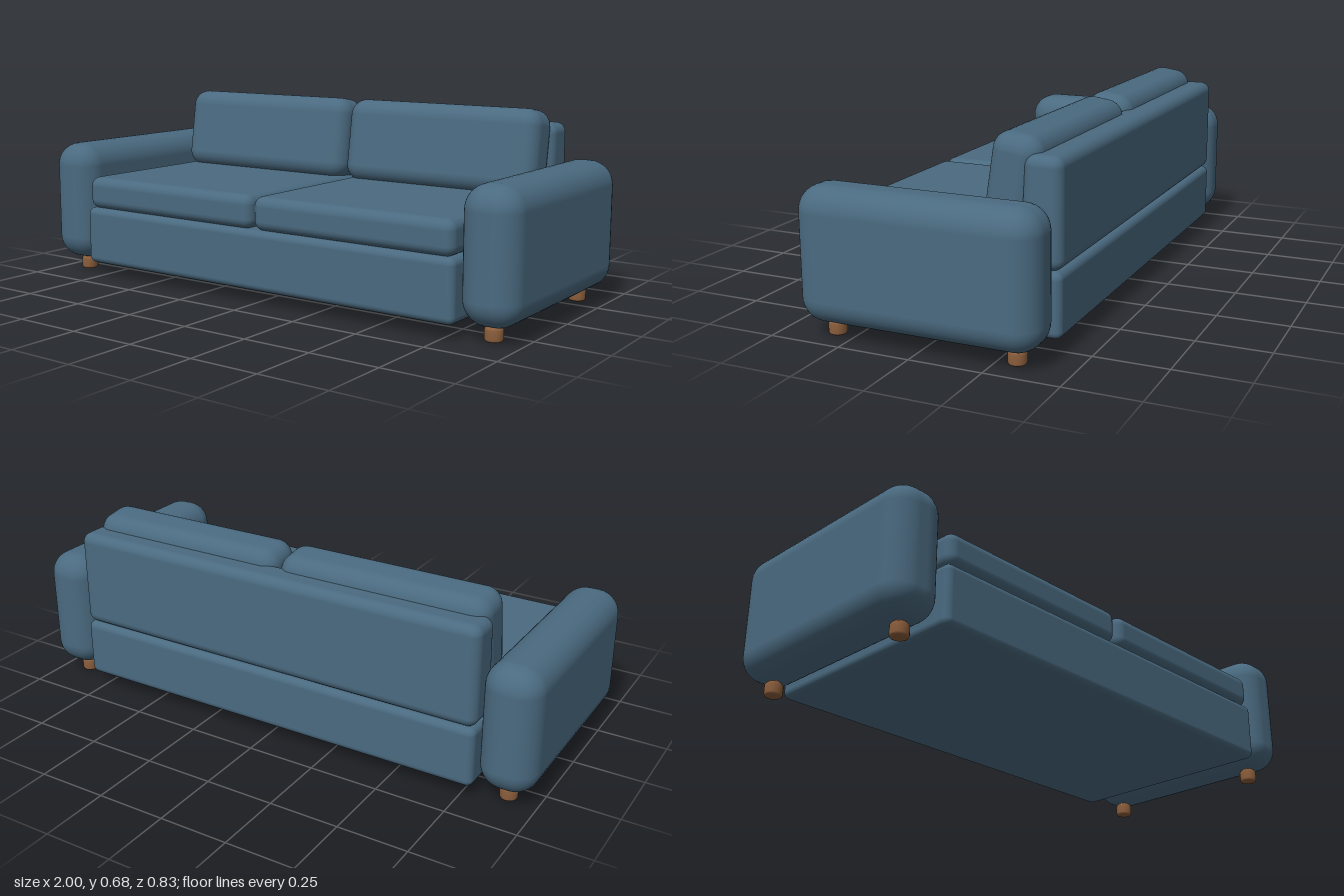
import * as THREE from 'three';
import { RoundedBoxGeometry } from 'three/addons/geometries/RoundedBoxGeometry.js';

export function createModel() {
  const sofa = new THREE.Group();
  sofa.name = 'sofa';
  const fabric = new THREE.MeshStandardMaterial({ color: 0x4a6a80 });
  const wood = new THREE.MeshStandardMaterial({ color: 0x8b5e3c });

  // Rounded upholstery block given its size, centre and edge radius
  function pad(name, [w, h, d], [x, y, z], radius) {
    const mesh = new THREE.Mesh(new RoundedBoxGeometry(w, h, d, 5, radius), fabric);
    mesh.name = name;
    mesh.position.set(x, y, z);
    sofa.add(mesh);
    return mesh;
  }

  // Base and backrest
  pad('base', [1.6, 0.215, 0.83], [0, 0.1575, 0], 0.025);
  const back = pad('backrest', [1.6, 0.355, 0.127], [0, 0.4425, -0.3515], 0.035);

  // The front of the backrest leans slightly forward towards its foot
  const p = back.geometry.attributes.position;
  for (let i = 0; i < p.count; i++) {
    if (p.getZ(i) > 0) p.setZ(i, p.getZ(i) + (0.1775 - p.getY(i)) * 0.05);
  }

  // Leg profile with softened rims
  const legProfile = [
    [0, 0], [0.022, 0], [0.028, 0.003], [0.031, 0.009],
    [0.031, 0.039], [0.028, 0.045], [0.022, 0.05], [0, 0.052],
  ].map(([r, y]) => new THREE.Vector2(r, y));
  const legGeometry = new THREE.LatheGeometry(legProfile, 20);

  for (const side of [1, -1]) {
    const label = side > 0 ? 'left' : 'right';

    // Arm, seat cushion and leaning back cushion
    pad(label + 'Arm', [0.2, 0.45, 0.83], [side * 0.9, 0.275, 0], 0.085);
    pad(label + 'SeatCushion', [0.787, 0.12, 0.71], [side * 0.3985, 0.323, 0.056], 0.035);
    const cushion = pad(label + 'BackCushion', [0.782, 0.31, 0.17], [side * 0.396, 0.52, -0.236], 0.06);
    cushion.rotation.x = -0.15;

    // Feet under the arm
    for (const end of [1, -1]) {
      const leg = new THREE.Mesh(legGeometry, wood);
      leg.name = label + (end > 0 ? 'FrontLeg' : 'BackLeg');
      leg.position.set(side * 0.895, 0, end * 0.317);
      sofa.add(leg);
    }
  }
  return sofa;
}
